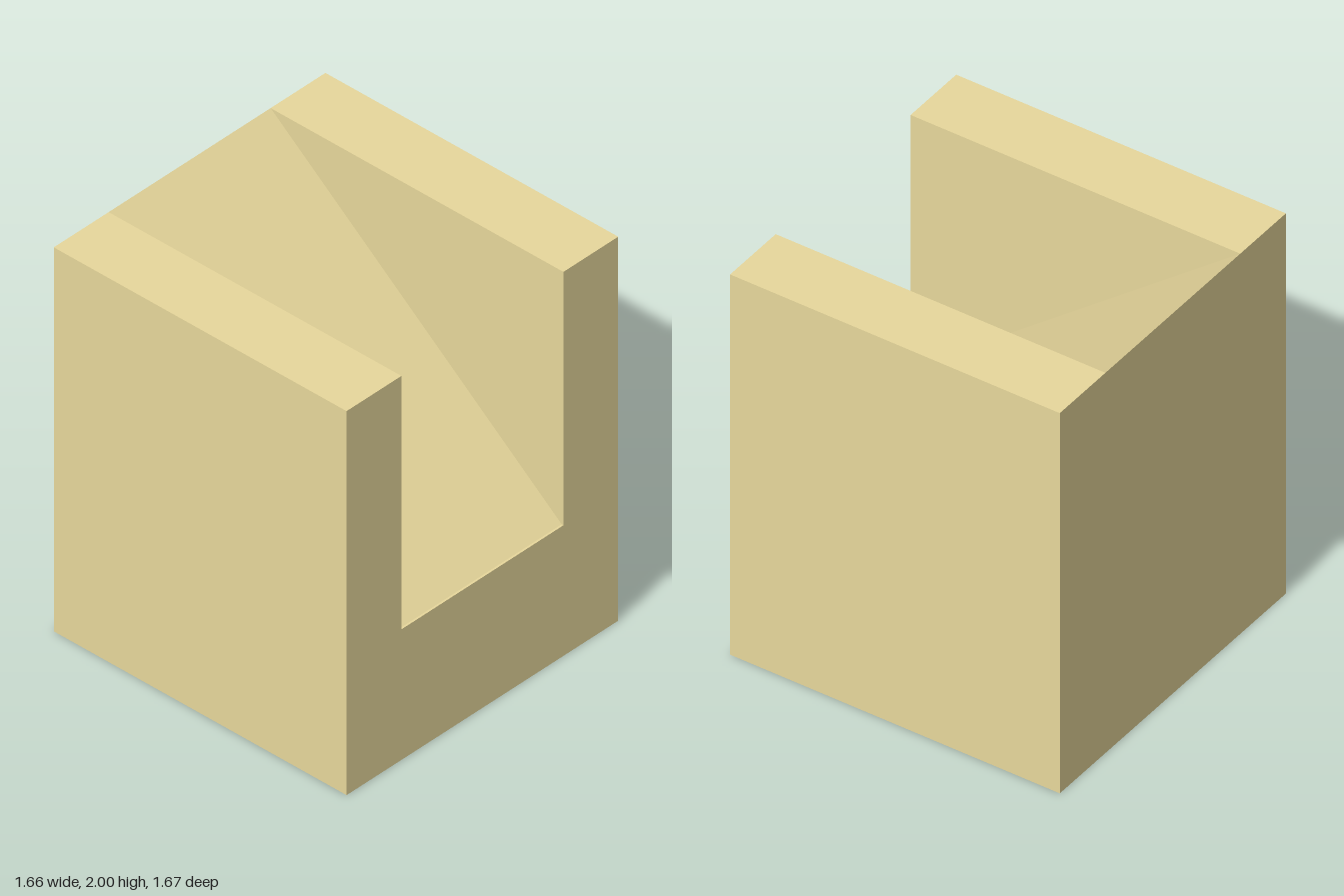
import * as THREE from 'three';

const HALF_X = 0.83, HALF_Z = 0.835, TOP = 2;
const SLOT_LEFT = 0.495, SLOT_RIGHT = -0.495, FLOOR = 0.68;
const LIP_Z = 0.825; // the floor is level from here to the front face

export function createModel() {
  const group = new THREE.Group();
  group.name = 'rampBlock';

  // U-shaped front outline: two side walls and the low front edge of the ramp
  const outline = new THREE.Shape([
    [-HALF_X, 0], [HALF_X, 0], [HALF_X, TOP], [SLOT_LEFT, TOP],
    [SLOT_LEFT, FLOOR], [SLOT_RIGHT, FLOOR], [SLOT_RIGHT, TOP], [-HALF_X, TOP],
  ].map(([x, y]) => new THREE.Vector2(x, y)));

  const geometry = new THREE.ExtrudeGeometry(outline, {
    depth: 2 * HALF_Z, steps: 2, bevelEnabled: false,
  }).translate(0, 0, -HALF_Z);

  // Raise the slot floor to the top at the back; the middle section becomes the lip
  const pos = geometry.attributes.position;
  for (let i = 0; i < pos.count; i++) {
    const z = pos.getZ(i);
    if (Math.abs(z) < 0.01) pos.setZ(i, LIP_Z);
    else if (z < 0 && Math.abs(pos.getY(i) - FLOOR) < 0.01) pos.setY(i, TOP);
  }
  geometry.computeVertexNormals();

  const material = new THREE.MeshStandardMaterial({ color: 0xe8d89c, flatShading: true });
  const block = new THREE.Mesh(geometry, material);
  block.name = 'blockWithRamp';
  group.add(block);
  return group;
}
